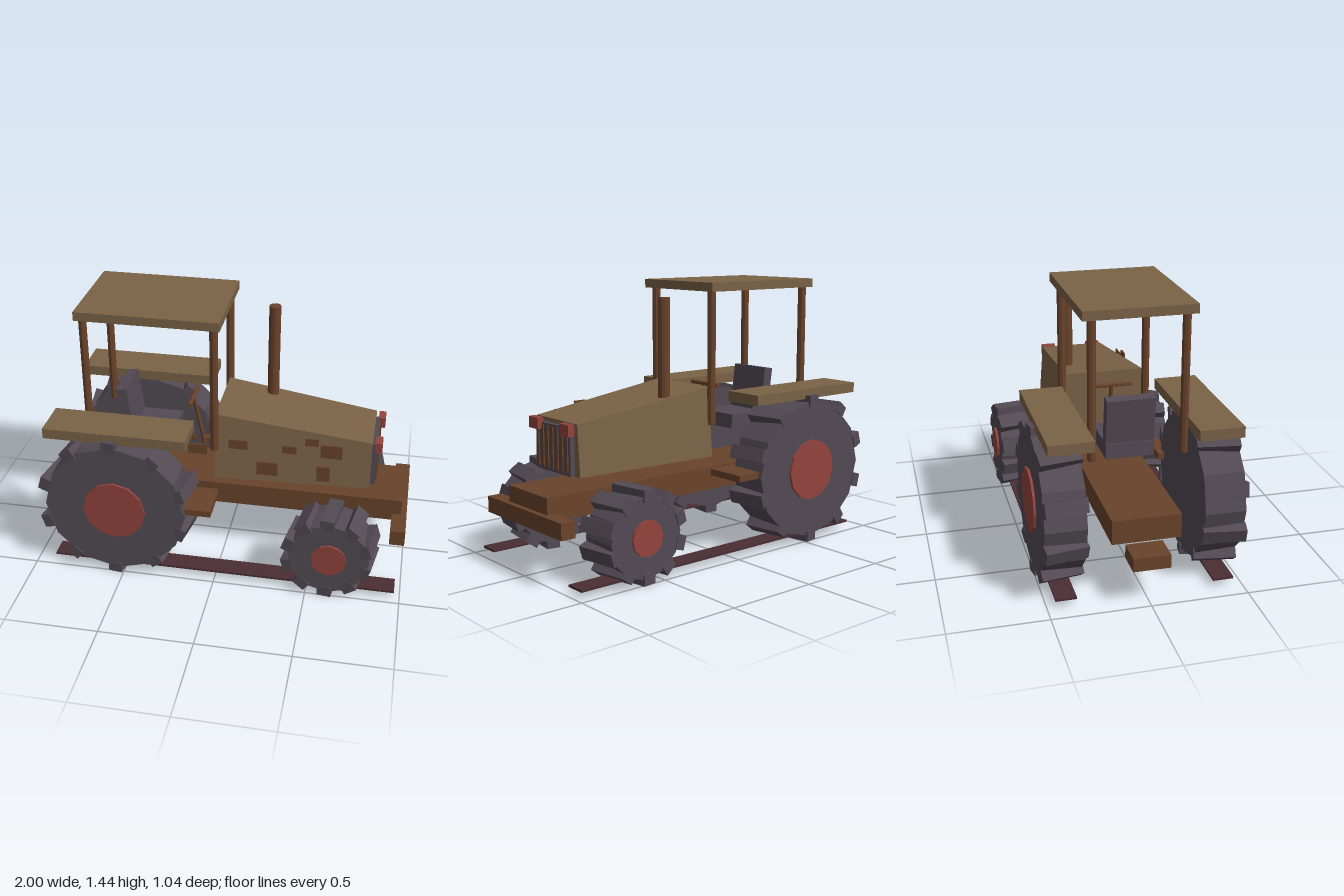
import * as THREE from 'three';

const paint = (name, color) => {
  const m = new THREE.MeshStandardMaterial({ color, flatShading: true });
  m.name = name;
  return m;
};

export function createModel() {
  const tan = paint('tan', 0x7a6246);
  const brown = paint('brown', 0x69432b);
  const grey = paint('rubberGrey', 0x534a54);
  const red = paint('red', 0x93443d);
  const maroon = paint('darkMaroon', 0x4a2e34);

  const model = new THREE.Group();
  model.name = 'tractor';

  const add = (name, geometry, material, parent = model) => {
    const mesh = new THREE.Mesh(geometry, material);
    mesh.name = name;
    parent.add(mesh);
    return mesh;
  };
  // Box given by its limits on each axis
  const box = (name, material, [x0, x1], [y0, y1], [z0, z1], parent) => {
    const mesh = add(name, new THREE.BoxGeometry(x1 - x0, y1 - y0, z1 - z0), material, parent);
    mesh.position.set((x0 + x1) / 2, (y0 + y1) / 2, (z0 + z1) / 2);
    return mesh;
  };
  // The same box on both sides of the centre line
  const boxPair = (name, material, x, y, [z0, z1]) => {
    box(name + 'PlusZ', material, x, y, [z0, z1]);
    box(name + 'MinusZ', material, x, y, [-z1, -z0]);
  };
  // Upright pipe
  const pipe = (name, r, x, z, y0, y1, sides) => {
    add(name, new THREE.CylinderGeometry(r, r, y1 - y0, sides), brown)
      .position.set(x, (y0 + y1) / 2, z);
  };

  // Chassis, bumper and hitch
  box('chassis', brown, [-0.9, 0.97], [0.305, 0.43], [-0.176, 0.176]);
  box('frontBumper', brown, [0.92, 1.0], [0.26, 0.345], [-0.34, 0.34]);
  box('rearHitch', brown, [-1.0, -0.85], [0.2, 0.27], [-0.095, 0.095]);
  boxPair('step', brown, [-0.22, -0.015], [0.41, 0.445], [0.26, 0.482]);
  boxPair('groundRail', maroon, [-0.9, 0.97], [0.031, 0.043], [0.35, 0.457]);

  // Hood: a box tapered towards the front and the top
  const hood = new THREE.BoxGeometry(1, 1, 1);
  const p = hood.attributes.position;
  for (let i = 0; i < p.count; i++) {
    const front = p.getX(i) > 0, top = p.getY(i) > 0;
    const halfWidth = front ? (top ? 0.18 : 0.2) : (top ? 0.213 : 0.243);
    p.setXYZ(i, front ? 0.79 : -0.038, top ? (front ? 0.772 : 0.882) : 0.507,
      Math.sign(p.getZ(i)) * halfWidth);
  }
  hood.computeVertexNormals();
  add('hood', hood, tan);

  // Grille with upright bars, and lamps
  box('grille', grey, [0.79, 0.815], [0.507, 0.75], [-0.153, 0.153]);
  for (let i = -3; i <= 3; i++) {
    const z = i * 0.0427;
    box('grilleBar', brown, [0.812, 0.822], [0.52, 0.74], [z - 0.007, z + 0.007]);
  }
  boxPair('headlamp', red, [0.805, 0.842], [0.714, 0.773], [0.098, 0.177]);

  // Small plates standing off one side of the hood
  const plates = [
    [0.04, 0.14, 0.705, 0.757], [0.325, 0.4, 0.706, 0.748],
    [0.445, 0.515, 0.765, 0.806], [0.527, 0.64, 0.7, 0.775],
    [0.19, 0.303, 0.56, 0.636], [0.511, 0.58, 0.556, 0.641],
    [-0.18, -0.078, 0.652, 0.71], [-0.18, -0.132, 0.738, 0.764],
  ];
  for (const [x0, x1, y0, y1] of plates) {
    box('sidePlate', brown, [x0, x1], [y0, y1], [0.242, 0.251]);
  }

  // Exhaust, cab posts, roof and fenders
  pipe('exhaust', 0.032, 0.217, -0.149, 0.78, 1.365, 12);
  for (const x of [-0.723, -0.04]) {
    for (const z of [-0.232, 0.232]) pipe('cabPost', 0.022, x, z, 0.68, 1.395, 8);
  }
  box('roof', tan, [-0.755, 0], [1.39, 1.437], [-0.282, 0.282]);
  boxPair('fender', tan, [-0.9, -0.143], [0.8, 0.855], [0.255, 0.482]);

  // Seat
  box('seatCushion', grey, [-0.58, -0.29], [0.61, 0.69], [-0.125, 0.125]);
  box('seatBack', grey, [-0.585, -0.527], [0.66, 0.93], [-0.125, 0.125]).rotation.z = 0.13;

  // Steering column with a cross handle
  const column = add('steeringColumn', new THREE.CylinderGeometry(0.011, 0.011, 0.3, 6), brown);
  column.position.set(-0.17, 0.715, 0);
  column.rotation.z = 0.2;
  const handle = add('steeringHandle', new THREE.CylinderGeometry(0.012, 0.012, 0.22, 6), brown);
  handle.position.set(-0.2, 0.862, 0);
  handle.rotation.x = Math.PI / 2;

  // Wheels: tyre, hub disc and ten skewed lugs
  const wheel = (name, x, y, side, r, hubR) => {
    const g = new THREE.Group();
    g.name = name;
    g.position.set(x, y, side * 0.4);
    model.add(g);
    const tyre = add('tyre', new THREE.CylinderGeometry(r, r, 0.21, 12), grey, g);
    tyre.rotation.x = Math.PI / 2;
    const hub = add('hub', new THREE.CylinderGeometry(hubR, hubR, 0.03, 12), red, g);
    hub.rotation.x = Math.PI / 2;
    hub.position.z = side * 0.103;
    const lugR = y - 0.03;
    const lug = new THREE.BoxGeometry(0.075, 0.06, 0.218);
    for (let i = 0; i < 10; i++) {
      const a = (i / 10) * Math.PI * 2;
      const m = add('lug', lug, grey, g);
      m.position.set(-Math.sin(a) * lugR, Math.cos(a) * lugR, 0);
      m.rotation.set(0, -side * 0.15, a);
    }
  };
  for (const side of [1, -1]) {
    wheel('rearWheel', -0.53, 0.41, side, 0.38, 0.168);
    wheel('frontWheel', 0.617, 0.24, side, 0.212, 0.093);
  }

  return model;
}
